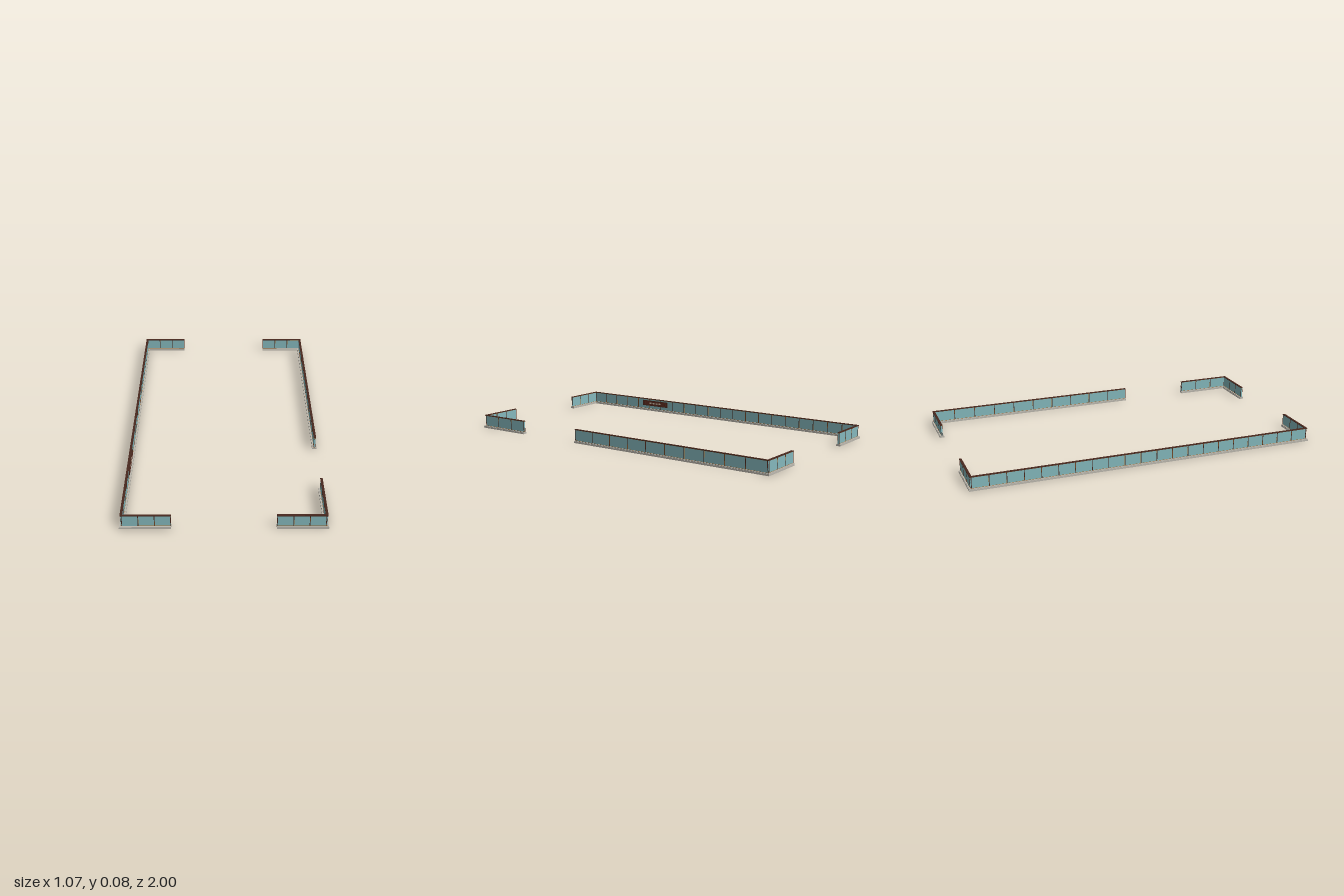
import * as THREE from 'three';

const mat = (name, color) => Object.assign(new THREE.MeshStandardMaterial({ color }), { name });

export function createModel() {
  const stone = mat('pale stone', 0xbcb8ae);
  const glass = mat('teal panel', 0x84b8bc);
  const wood = mat('dark brown wood', 0x48281e);
  const gold = mat('ochre trim', 0xa06e35);
  const plaque = mat('red brown plaque', 0x642f22);
  const ivory = mat('ivory inlay', 0xd8cdb8);
  const model = new THREE.Group();
  model.name = 'perimeterBarrier';

  // Box given by centre and size
  function box(parent, name, material, size, pos) {
    const mesh = new THREE.Mesh(new THREE.BoxGeometry(...size), material);
    mesh.position.set(...pos);
    mesh.name = name;
    parent.add(mesh);
  }

  // Straight wall along local x, from a to b; extra values lengthen the base at each end
  function wall(name, a, b, panels, extraA, extraB) {
    const g = new THREE.Group();
    g.name = name;
    const run = (part, material, y0, y1, width, ea, eb) =>
      box(g, part, material, [b - a + ea + eb, y1 - y0, width],
        [(a + b + eb - ea) / 2, (y0 + y1) / 2, 0]);
    run('plinth', stone, 0, 0.0085, 0.026, extraA, extraB);
    run('plinthStep', stone, 0.0085, 0.0125, 0.022, extraA * 0.85, extraB * 0.85);
    run('lowerTrim', gold, 0.0125, 0.0138, 0.009, extraA * 0.3, extraB * 0.3);
    run('panel', glass, 0.0138, 0.0735, 0.007, 0, 0);
    run('railTrim', gold, 0.0735, 0.0748, 0.010, extraA * 0.35, extraB * 0.35);
    run('topRail', wood, 0.0748, 0.0785, 0.013, extraA * 0.5, extraB * 0.5);
    // Posts with a slim ochre edge
    for (let i = 0; i <= panels; i++) {
      const x = a + 0.002 + (b - a - 0.004) * i / panels;
      box(g, 'post', wood, [0.0034, 0.0597, 0.0095], [x, 0.04365, 0]);
      if (i > 0 && i < panels) box(g, 'postTrim', gold, [0.0012, 0.0597, 0.0085], [x + 0.0022, 0.04365, 0]);
    }
    model.add(g);
    return g;
  }

  const X = 0.52, Z = 0.987, E = 0.013;

  // Short returns at the four corners
  for (const sz of [1, -1]) {
    for (const sx of [1, -1]) {
      const g = sx > 0
        ? wall('endWallLeft', 0.268, X, 3, 0, E)
        : wall('endWallRight', -X, -0.268, 3, E, 0);
      g.position.z = sz * Z;
    }
  }

  // Long sides: local x runs towards -z
  const side = (name, x, z0, z1, panels, e0, e1) => {
    const g = wall(name, -z0, -z1, panels, e0, e1);
    g.rotation.y = Math.PI / 2;
    g.position.x = x;
  };
  side('rightSideWall', -X, Z, -Z, 21, E, E);
  side('leftSideFrontWall', X, Z, 0.665, 3, E, 0);
  side('leftSideBackWall', X, 0.265, -Z, 10, 0, E);

  // Plaque on the inner face of the right side, with frame and plain inlays
  const sign = new THREE.Group();
  sign.name = 'plaque';
  sign.position.set(-0.5145, 0.0495, 0.467);
  model.add(sign);
  box(sign, 'plaqueBoard', plaque, [0.004, 0.031, 0.196], [0, 0, 0]);
  for (const s of [1, -1]) {
    box(sign, 'frameRail', wood, [0.005, 0.0035, 0.2], [0.0003, s * 0.0155, 0]);
    box(sign, 'frameStile', wood, [0.005, 0.031, 0.0035], [0.0003, 0, s * 0.0985]);
    box(sign, 'bracket', wood, [0.006, 0.012, 0.004], [0.002, 0, s * 0.084]);
  }
  for (let i = 0; i < 4; i++) {
    box(sign, 'inlay', ivory, [0.001, 0.009, 0.016], [0.0022, 0, (i - 1.5) * 0.026]);
  }
  return model;
}
